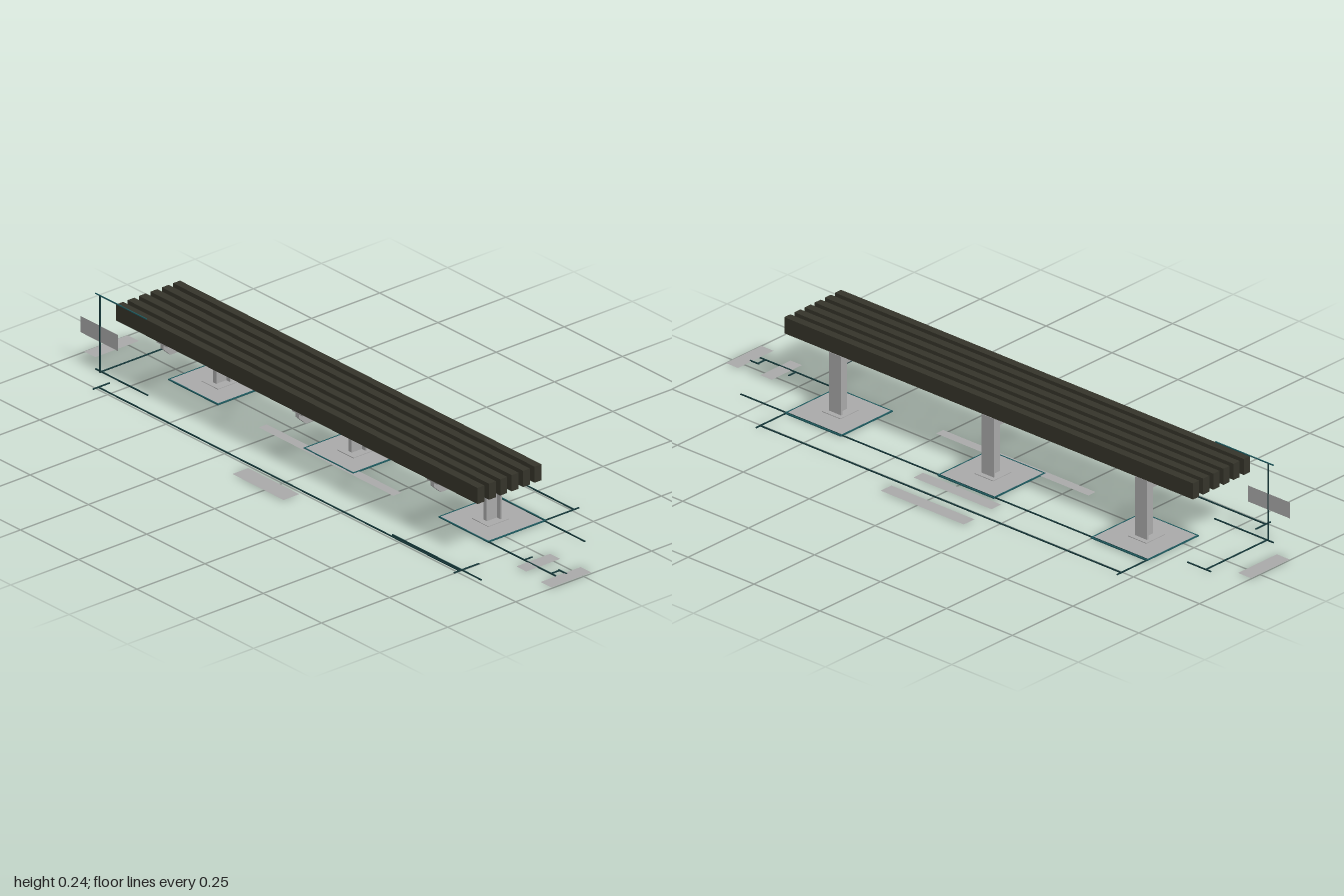
import * as THREE from 'three';

const mat = (name, color, side = THREE.FrontSide) => {
  const m = new THREE.MeshStandardMaterial({ color, side });
  m.name = name;
  return m;
};

export function createModel() {
  const model = new THREE.Group();
  model.name = 'benchWithDimensions';
  const wood = mat('darkWood', 0x35342a);
  const steel = mat('steelGrey', 0xa9a9a9);
  const plateGrey = mat('labelGrey', 0xa9a9a9, THREE.DoubleSide);
  const line = mat('darkTeal', 0x16383a);
  const edge = mat('teal', 0x1f5a5f);

  // Box given by its limits on each axis
  const box = (name, m, x0, x1, y0, y1, z0, z1, parent = model) => {
    const mesh = new THREE.Mesh(new THREE.BoxGeometry(x1 - x0, y1 - y0, z1 - z0), m);
    mesh.position.set((x0 + x1) / 2, (y0 + y1) / 2, (z0 + z1) / 2);
    mesh.name = name;
    parent.add(mesh);
    return mesh;
  };

  // Seat slats
  for (let i = 0; i < 6; i++) {
    const z = 0.1635 - i * 0.0419;
    box('seatSlat', wood, -0.8, 0.75, 0.188, 0.238, z - 0.0125, z + 0.0125);
  }

  // Web of the support: post and cantilever arm with a tapered tip (drawn as z, y)
  const web = new THREE.Shape();
  [[-0.056, 0.004], [-0.018, 0.004], [-0.018, 0.148], [0.15, 0.148], [0.176, 0.172], [0.176, 0.186], [-0.056, 0.186]]
    .forEach(([z, y], i) => (i ? web.lineTo(z, y) : web.moveTo(z, y)));
  const webGeo = new THREE.ExtrudeGeometry(web, { depth: 0.014, bevelEnabled: false });
  webGeo.translate(0, 0, -0.007).rotateY(-Math.PI / 2);

  // Three steel supports on square base plates
  for (const x of [-0.604, -0.023, 0.556]) {
    const support = new THREE.Group();
    support.name = 'support';
    support.position.x = x;
    model.add(support);
    const webMesh = new THREE.Mesh(webGeo, steel);
    webMesh.name = 'supportWeb';
    support.add(webMesh);
    box('postFlange', steel, -0.023, 0.023, 0.003, 0.188, -0.06, -0.055, support);
    box('armFlange', steel, -0.023, 0.023, 0.184, 0.188, -0.06, 0.176, support);
    box('footPlate', steel, -0.035, 0.035, 0.002, 0.005, -0.076, 0, support);
    box('basePlate', steel, -0.105, 0.105, 0, 0.003, -0.15, 0.06, support);
    // Thin outline around the base plate
    for (const s of [-1, 1]) {
      box('plateEdge', edge, s * 0.105 - 0.002, s * 0.105 + 0.002, 0, 0.0036, -0.152, 0.062, support);
      const z = -0.045 + s * 0.105;
      box('plateEdge', edge, -0.105, 0.105, 0, 0.0036, z - 0.002, z + 0.002, support);
    }
  }

  // Dimension lines on the ground
  const w = 0.002;
  const lineX = (x0, x1, z, y = 0.002) => box('dimensionLine', line, x0, x1, y - 0.0015, y + 0.0015, z - w, z + w);
  const lineZ = (z0, z1, x) => box('dimensionLine', line, x - w, x + w, 0.0005, 0.0035, z0, z1);
  [
    [-0.709, 0.66, -0.256], [-0.709, 0.835, -0.146], [-0.8, 0.75, 0.242], [0.452, 0.835, 0.234],
    [0.66, 0.95, 0.06], [0.925, 0.96, 0.028], [-0.89, -0.8, -0.082], [-0.895, -0.67, 0.171],
  ].forEach((a) => lineX(...a));
  [
    [-0.274, -0.15, -0.709], [-0.274, -0.15, 0.66], [0.2, 0.262, -0.8], [0.171, 0.262, 0.75],
    [-0.082, 0.171, -0.87], [0.03, 0.06, 0.815], [0.03, 0.06, 0.93],
  ].forEach((a) => lineZ(...a));

  // Height dimension standing in the front plane
  box('heightLine', line, -0.872, -0.868, 0, 0.24, 0.174, 0.177);
  box('heightTick', edge, -0.89, -0.67, 0.238, 0.241, 0.174, 0.177);

  // Flat label plates: x0, x1, z0, z1
  const label = (width, height) => {
    const mesh = new THREE.Mesh(new THREE.PlaneGeometry(width, height), plateGrey);
    mesh.name = 'labelPlate';
    model.add(mesh);
    return mesh;
  };
  [
    [-0.18, 0.135, -0.33, -0.286], [-0.172, 0.124, -0.207, -0.167], [-0.134, 0.086, 0.262, 0.32],
    [-1, -0.951, -0.037, 0.123], [0.832, 0.875, -0.021, 0.104], [0.952, 0.998, -0.03, 0.117],
    [-0.313, 0.265, 0.04, 0.07],
  ].forEach(([x0, x1, z0, z1]) => {
    const plate = label(x1 - x0, z1 - z0);
    plate.rotation.x = -Math.PI / 2;
    plate.position.set((x0 + x1) / 2, 0.002, (z0 + z1) / 2);
  });
  label(0.16, 0.05).position.set(-0.874, 0.12, 0.175);

  return model;
}
